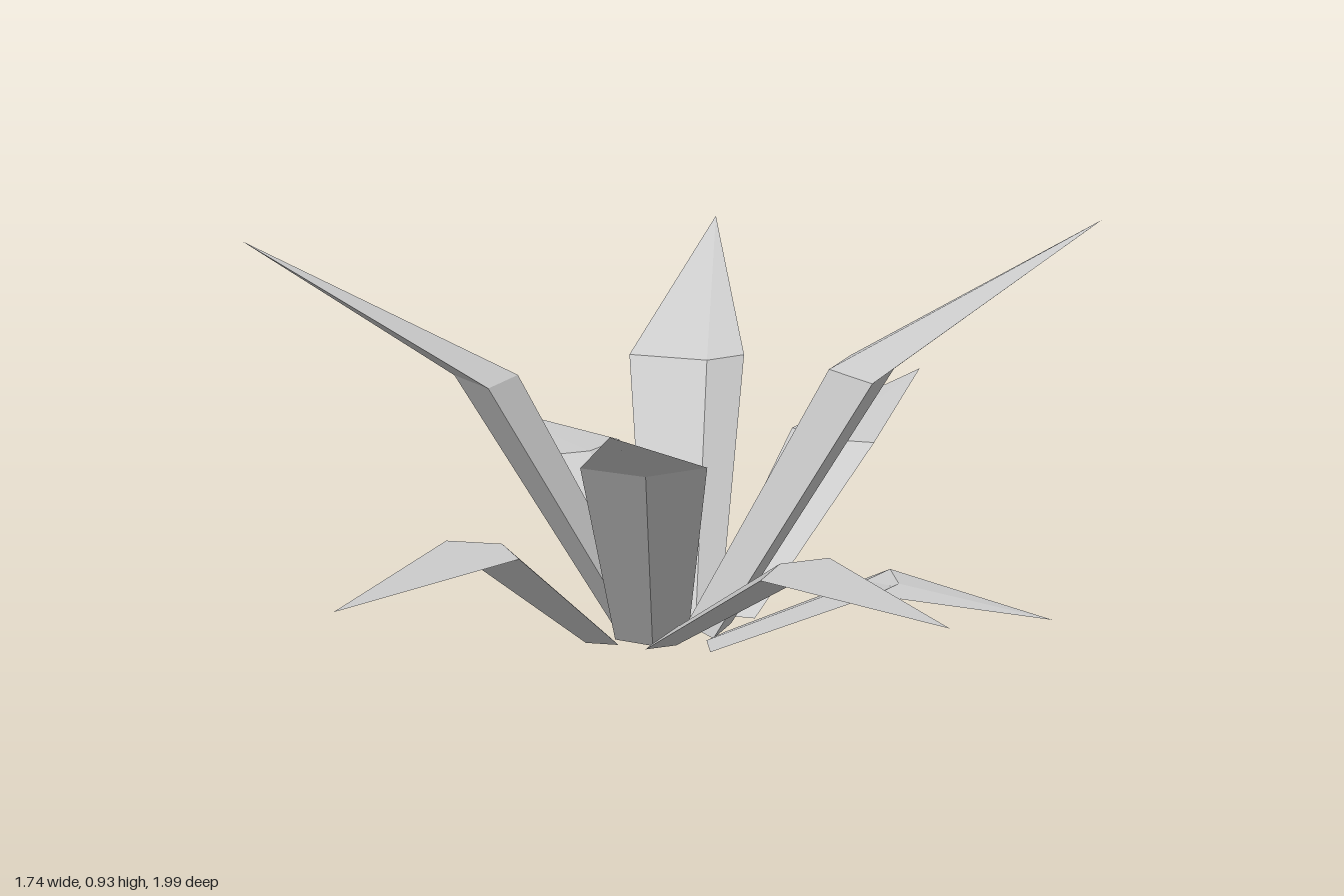
import * as THREE from 'three';

const leafGrey = new THREE.MeshStandardMaterial({ color: 0xcccccc, side: THREE.DoubleSide, flatShading: true });
leafGrey.name = 'leafGrey';

// One leaf: a four-sided leaning stem from the ground to a knee, then a pyramid to the tip.
// a, b: side corners of the knee; inner: its corner nearest the middle ([x, z] each).
// base: centre of the stem on the ground; taper: ground section relative to the knee.
function leafGeometry({ tip, kneeY, a, b, inner, base, taper }) {
  const outer = [a[0] + b[0] - inner[0], a[1] + b[1] - inner[1]];
  const centre = [(a[0] + b[0]) / 2, (a[1] + b[1]) / 2];
  let section = [a, inner, b, outer];

  // keep the section anticlockwise as seen from above
  let area = 0;
  section.forEach((p, i) => {
    const q = section[(i + 1) % 4];
    area += p[0] * q[1] - p[1] * q[0];
  });
  if (area > 0) section = section.reverse();

  const knee = section.map(([x, z]) => [x, kneeY, z]);
  const foot = section.map(([x, z]) => [
    base[0] + (x - centre[0]) * taper, 0, base[1] + (z - centre[1]) * taper,
  ]);

  const points = [];
  const face = (...corners) => corners.forEach((c) => points.push(...c));
  for (let i = 0; i < 4; i++) {
    const j = (i + 1) % 4;
    face(foot[i], foot[j], knee[j]);
    face(foot[i], knee[j], knee[i]);
    face(knee[i], knee[j], tip);
  }
  face(foot[0], foot[2], foot[1]);
  face(foot[0], foot[3], foot[2]);

  const geometry = new THREE.BufferGeometry();
  geometry.setAttribute('position', new THREE.Float32BufferAttribute(points, 3));
  geometry.computeVertexNormals();
  return geometry;
}

const leaves = {
  // tall leaves
  tallLeafBack: { tip: [-0.21, 0.795, -0.97], kneeY: 0.54, a: [-0.26, -0.39], b: [0.01, -0.47], inner: [-0.06, -0.385], base: [-0.03, -0.09], taper: 0.63 },
  tallLeafLeft: { tip: [0.87, 0.925, -0.415], kneeY: 0.6, a: [0.32, -0.29], b: [0.43, -0.02], inner: [0.305, -0.13], base: [0.055, -0.02], taper: 0.7 },
  tallLeafFront: { tip: [0.165, 0.715, 0.99], kneeY: 0.505, a: [-0.07, 0.5], b: [0.18, 0.418], inner: [0.03, 0.395], base: [-0.04, 0.12], taper: 0.63 },
  tallLeafRight: { tip: [-0.87, 0.925, 0.415], kneeY: 0.6, a: [-0.47, 0.035], b: [-0.365, 0.27], inner: [-0.35, 0.13], base: [-0.115, 0.03], taper: 0.68 },
  // low leaves
  lowLeafBack: { tip: [0.345, 0.41, -1], kneeY: 0.355, a: [0.125, -0.505], b: [0.35, -0.425], inner: [0.225, -0.42], base: [0.08, -0.11], taper: 0.6 },
  lowLeafLeft: { tip: [0.855, 0.11, 0.03], kneeY: 0.175, a: [0.48, -0.02], b: [0.485, 0.17], inner: [0.445, 0.075], base: [0.11, 0.09], taper: 0.75 },
  lowLeafFrontLeft: { tip: [0.74, 0.295, 0.66], kneeY: 0.288, a: [0.31, 0.47], b: [0.41, 0.28], inner: [0.32, 0.35], base: [0, 0.125], taper: 0.65 },
  lowLeafFrontRight: { tip: [-0.455, 0.28, 0.885], kneeY: 0.28, a: [-0.425, 0.385], b: [-0.225, 0.46], inner: [-0.3, 0.37], base: [-0.16, 0.155], taper: 0.6 },
  lowLeafBackRight: { tip: [-0.785, 0.305, -0.69], kneeY: 0.303, a: [-0.44, -0.255], b: [-0.31, -0.455], inner: [-0.345, -0.33], base: [-0.1, -0.1], taper: 0.6 },
};

export function createModel() {
  const plant = new THREE.Group();
  plant.name = 'plant';
  for (const [name, spec] of Object.entries(leaves)) {
    const leaf = new THREE.Mesh(leafGeometry(spec), leafGrey);
    leaf.name = name;
    plant.add(leaf);
  }
  return plant;
}
